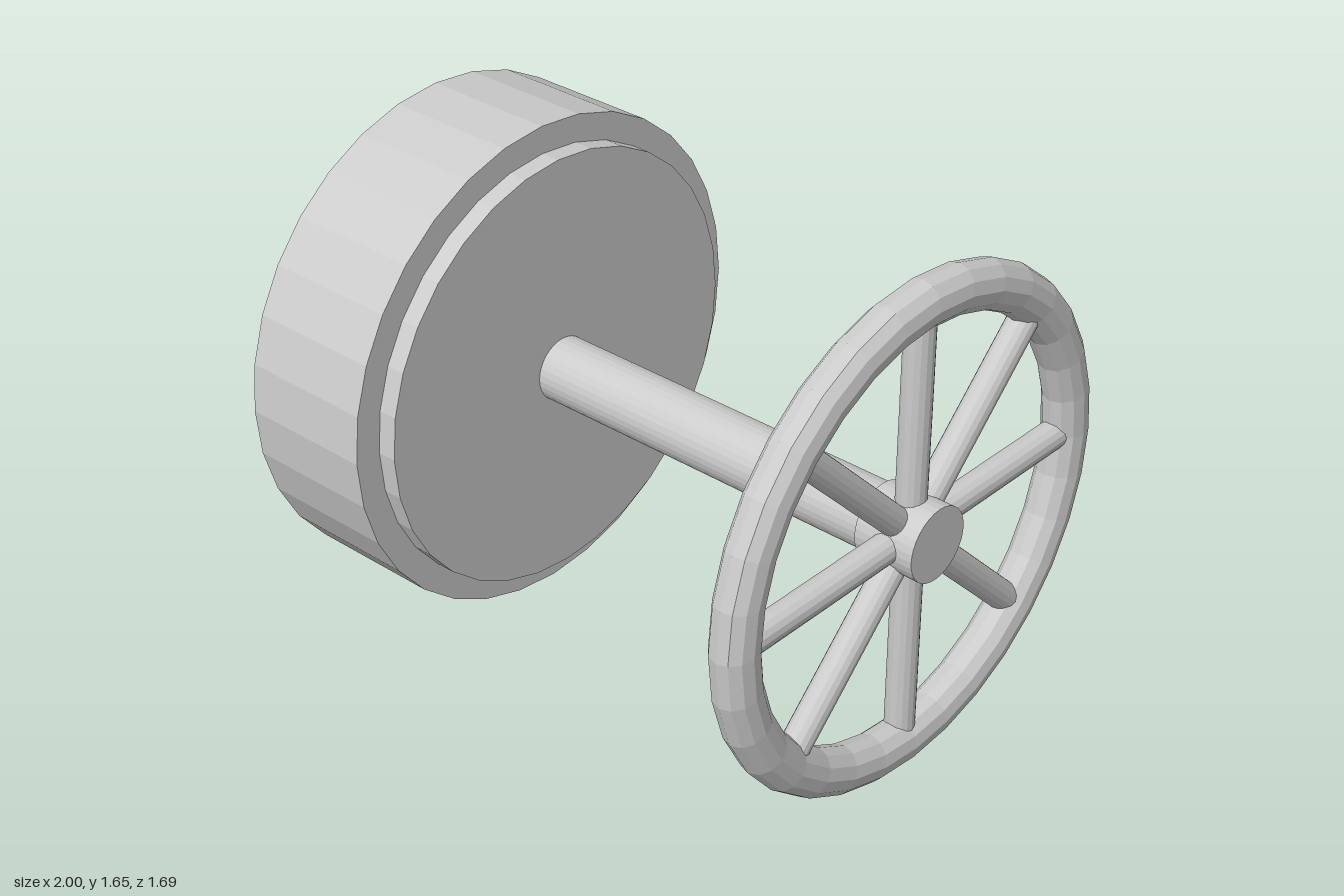
import * as THREE from 'three';

const AXIS_Y = 0.834;
const material = new THREE.MeshStandardMaterial({ color: 0xcccccc, flatShading: true });

function addMesh(parent, name, geometry) {
  const mesh = new THREE.Mesh(geometry, material);
  mesh.name = name;
  parent.add(mesh);
  return mesh;
}

// Cylinder lying along x, from x0 to x1
function axial(parent, name, radius, x0, x1) {
  const geometry = new THREE.CylinderGeometry(radius, radius, x1 - x0, 32);
  geometry.rotateZ(Math.PI / 2);
  geometry.translate((x0 + x1) / 2, 0, 0);
  return addMesh(parent, name, geometry);
}

export function createModel() {
  const model = new THREE.Group();
  model.name = 'valveHandwheel';

  const body = new THREE.Group();
  body.name = 'body';
  body.position.y = AXIS_Y;
  model.add(body);

  // Drum, its raised step and the shaft
  axial(body, 'drum', 0.818, -1, -0.54);
  axial(body, 'drumStep', 0.727, -0.56, -0.475);
  axial(body, 'shaft', 0.107, -0.5, 0.82);

  // Handwheel, very slightly wider than tall
  const wheel = new THREE.Group();
  wheel.name = 'handwheel';
  wheel.scale.z = 1.022;
  body.add(wheel);
  axial(wheel, 'hub', 0.12, 0.795, 1);

  // Rim with a slightly flattened section
  const rim = new THREE.TorusGeometry(0.75, 0.077, 12, 32);
  rim.rotateY(Math.PI / 2);
  rim.scale(0.91, 1, 1);
  rim.translate(0.899, 0, 0);
  addMesh(wheel, 'rim', rim);

  // Eight spokes from the hub into the rim
  for (let i = 0; i < 8; i++) {
    const spoke = new THREE.CylinderGeometry(0.047, 0.047, 0.68, 16);
    spoke.translate(0, 0.39, 0);
    spoke.rotateX((i * Math.PI) / 4);
    spoke.translate(0.899, 0, 0);
    addMesh(wheel, 'spoke' + (i + 1), spoke);
  }

  return model;
}
